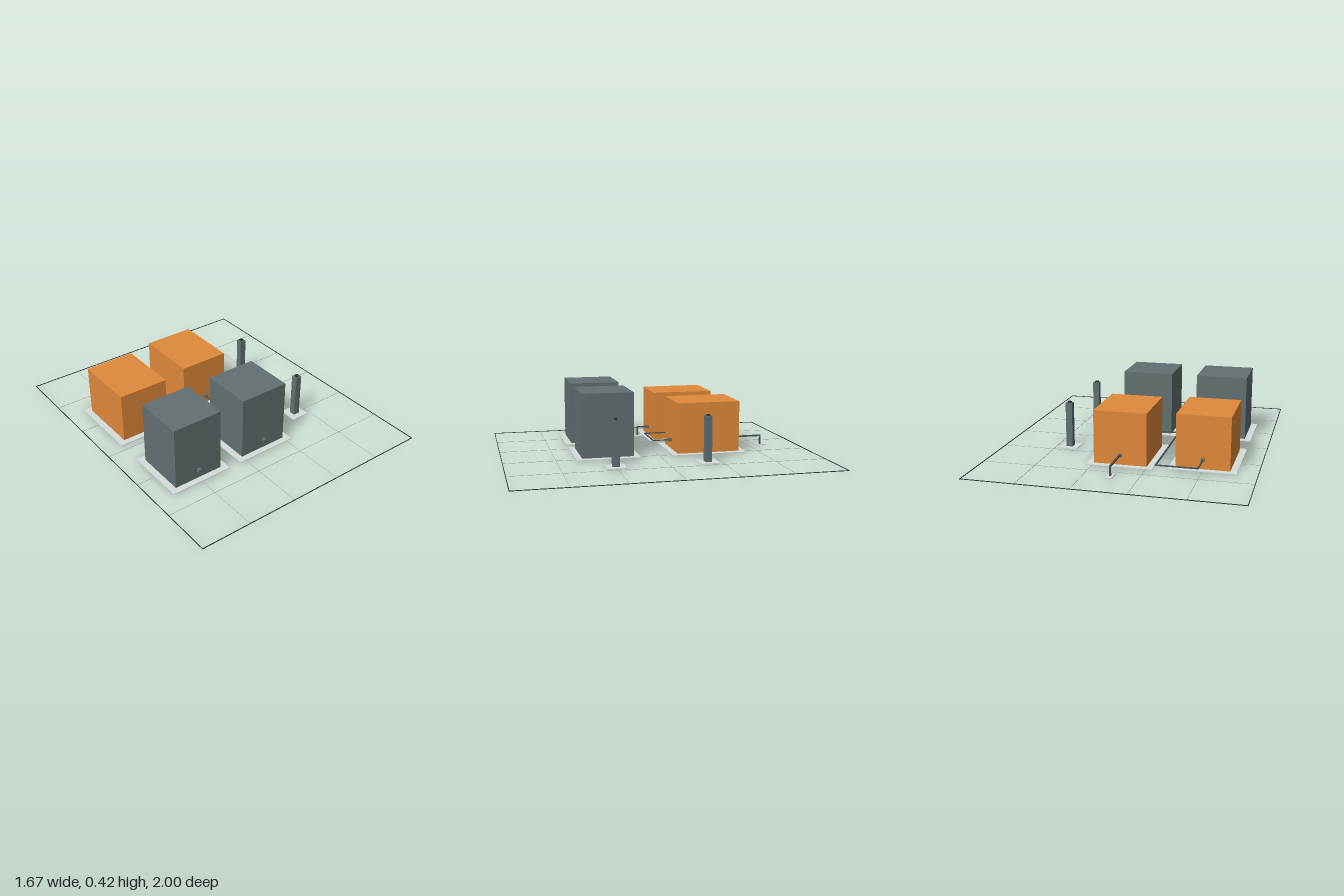
import * as THREE from 'three';

const mat = (name, color) => {
  const m = new THREE.MeshStandardMaterial({ color });
  m.name = name;
  return m;
};

export function createModel() {
  const root = new THREE.Group();
  root.name = 'tankYard';

  const slate = mat('slate', 0x637072);
  const orange = mat('orange', 0xe18a3a);
  const concrete = mat('concrete', 0xd6dddb);
  const dark = mat('darkTrim', 0x2f3638);
  const steel = mat('pipeSteel', 0x4a5557);
  const paleLine = mat('paleLine', 0xa9b2b4);

  // box centred on x, z with its base at y
  const box = (name, material, w, h, d, x, y, z, parent = root) => {
    const mesh = new THREE.Mesh(new THREE.BoxGeometry(w, h, d), material);
    mesh.name = name;
    mesh.position.set(x, y + h / 2, z);
    parent.add(mesh);
  };

  // square-section pipe following axis-aligned points
  const pipe = (name, points, t) => {
    const g = new THREE.Group();
    g.name = name;
    for (let i = 1; i < points.length; i++) {
      const a = points[i - 1], b = points[i];
      const [w, h, d] = a.map((v, k) => Math.abs(v - b[k]) + t);
      const [x, y, z] = a.map((v, k) => (v + b[k]) / 2);
      box('pipeRun', steel, w, h, d, x, y - h / 2, z, g);
    }
    root.add(g);
  };

  // ground grid: five by six cells, dark border and fine pale inner lines
  const CELL = 1 / 3, BORDER = 0.004, LINE = 0.002;
  const grid = new THREE.Group();
  grid.name = 'groundGrid';
  root.add(grid);
  for (const s of [-1, 1]) {
    box('borderSide', dark, BORDER, BORDER, 2, s * (5 / 6 - BORDER / 2), 0, 0, grid);
    box('borderEnd', dark, 5 / 3, BORDER, BORDER, 0, 0, s * (1 - BORDER / 2), grid);
  }
  for (let i = 1; i < 5; i++) {
    box('gridLineLong', paleLine, LINE, LINE, 2 - 2 * BORDER, -5 / 6 + i * CELL, 0, 0, grid);
  }
  for (let j = 1; j < 6; j++) {
    box('gridLineCross', paleLine, 5 / 3 - 2 * BORDER, LINE, LINE, 0, 0, -1 + j * CELL, grid);
  }

  // tanks on concrete pads, with nozzles on the chosen ends (+1 front, -1 back)
  const PIPE_Y = 0.067;
  const tank = (name, material, x, z, h, d, ends) => {
    const g = new THREE.Group();
    g.name = name;
    box('tankPad', concrete, 0.415, 0.004, d + 0.08, x, 0.0015, z, g);
    box('tankBody', material, 0.331, h, d, x, 0.001, z, g);
    for (const s of ends) {
      box('nozzle', slate, 0.021, 0.02, 0.021, x, PIPE_Y - 0.01, z + s * (d / 2 + 0.0105), g);
    }
    root.add(g);
  };
  tank('frontRightTank', slate, -0.499, 0.333, 0.418, CELL, [1]);
  tank('frontLeftTank', slate, 0, 0.333, 0.418, CELL, [1]);
  tank('backRightTank', orange, -0.499, -0.292, 0.335, 0.415, [1, -1]);
  tank('backLeftTank', orange, 0, -0.332, 0.335, 0.415, [1, -1]);

  // slim posts with dark caps
  for (const z of [-0.25, 0.333]) {
    const g = new THREE.Group();
    g.name = 'post';
    box('postPad', concrete, 0.123, 0.004, 0.123, 0.4155, 0.0015, z, g);
    box('postShaft', slate, 0.042, 0.292, 0.042, 0.4145, 0.001, z, g);
    box('postCap', dark, 0.022, 0.009, 0.022, 0.4145, 0.293, z, g);
    root.add(g);
  }

  // pipe linking the two orange tanks
  pipe('linkPipe', [
    [-0.5, PIPE_Y, -0.515], [-0.5, PIPE_Y, -0.667], [-0.25, PIPE_Y, -0.667],
    [-0.25, PIPE_Y, 0], [0, PIPE_Y, 0], [0, PIPE_Y, -0.11],
  ], 0.0075);

  // outlet pipes dropping to small feet
  const outlet = (x, zStart, zEnd) => {
    pipe('outletPipe', [[x, PIPE_Y, zStart], [x, PIPE_Y, zEnd], [x, 0.012, zEnd]], 0.01);
    box('outletFoot', concrete, 0.038, 0.0065, 0.083, x, 0.0015, zEnd);
  };
  outlet(0, -0.555, -0.75);
  outlet(-0.5, -0.07, 0);

  return root;
}
